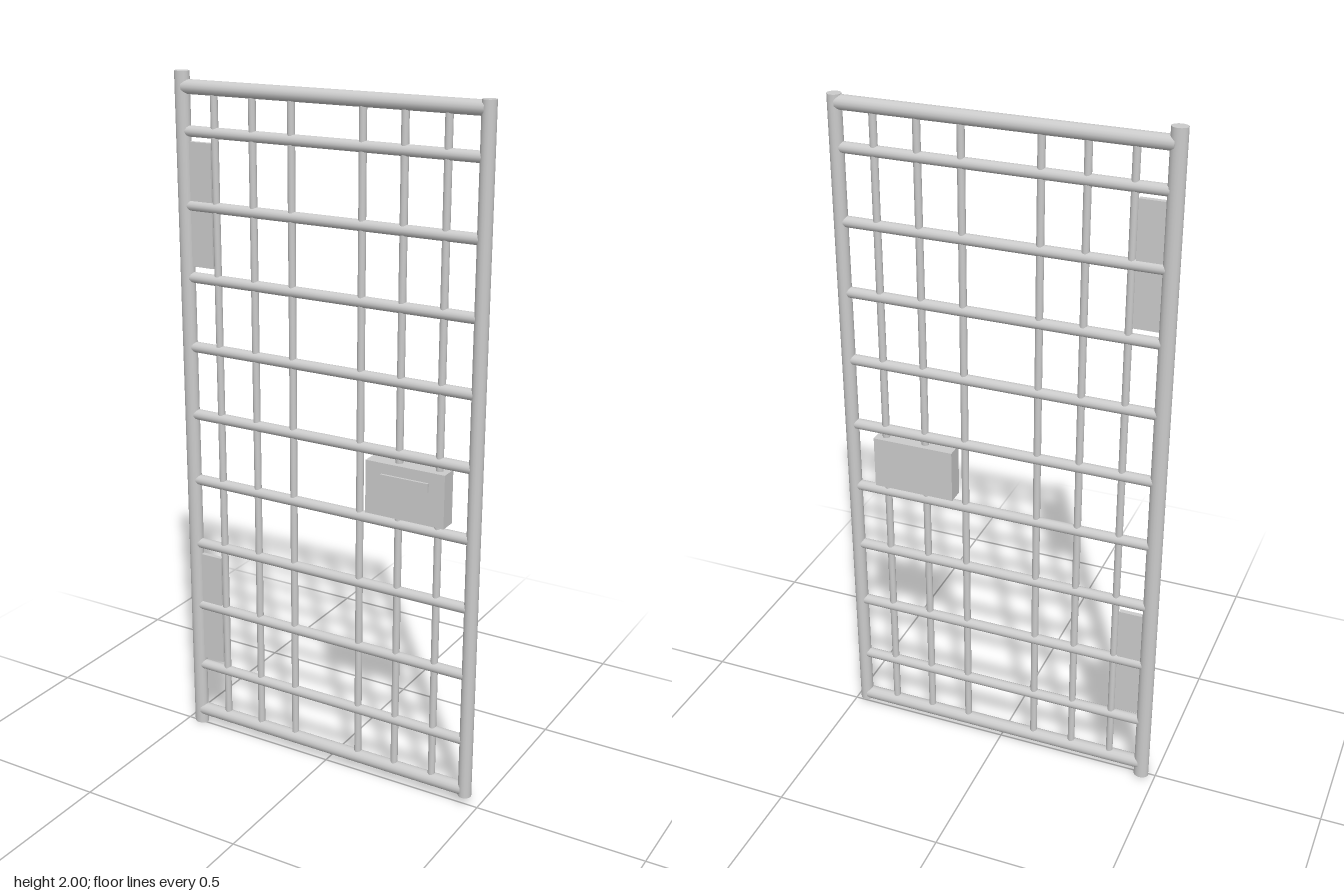
import * as THREE from 'three';

const Z = -0.006; // centre plane of the frame

export function createModel() {
  const group = new THREE.Group();
  const mat = new THREE.MeshStandardMaterial({ color: 0xcccccc });

  const add = (name, geo, x, y, z = Z) => {
    const mesh = new THREE.Mesh(geo, mat);
    mesh.name = name;
    mesh.position.set(x, y, z);
    group.add(mesh);
    return mesh;
  };
  const upright = (name, x, y0, y1, r, sides = 16) =>
    add(name, new THREE.CylinderGeometry(r, r, y1 - y0, sides), x, (y0 + y1) / 2);
  const rail = (name, y, r) => {
    add(name, new THREE.CylinderGeometry(r, r, 0.9, 16), 0, y).rotation.z = Math.PI / 2;
  };
  const box = (name, x0, x1, y0, y1, z0, z1) =>
    add(name, new THREE.BoxGeometry(x1 - x0, y1 - y0, z1 - z0),
      (x0 + x1) / 2, (y0 + y1) / 2, (z0 + z1) / 2);

  // Side posts: the hinge post is slightly taller and wider
  const hinge = upright('hingePost', -0.457, 0, 2, 0.019);
  hinge.scale.x = 1.18;
  upright('latchPost', 0.457, 0.025, 1.98, 0.0195);

  // Heavy top and bottom rails
  rail('topRail', 1.958, 0.02);
  rail('bottomRail', 0.045, 0.02);

  // Evenly spaced cross bars
  for (let i = 0; i < 9; i++) rail('crossBar', 0.203 + i * 0.2045, 0.0155);

  // Thin vertical bars, three on each side of a wide centre gap
  for (const x of [-0.354, -0.232, -0.11, 0.106, 0.228, 0.35])
    upright('verticalBar', x, 0.05, 1.95, 0.0105, 12);

  // Thin hinge plates between the hinge post and the first bar
  for (const y of [0.23, 1.463])
    box('hingePlate', -0.445, -0.366, y, y + 0.348, Z - 0.007, Z + 0.007);

  // Lock case with a slim handle on its front
  box('lockCase', 0.138, 0.379, 0.842, 0.997, -0.03, 0.021);
  box('lockHandle', 0.187, 0.332, 0.94, 0.966, 0.02, 0.028);

  return group;
}
